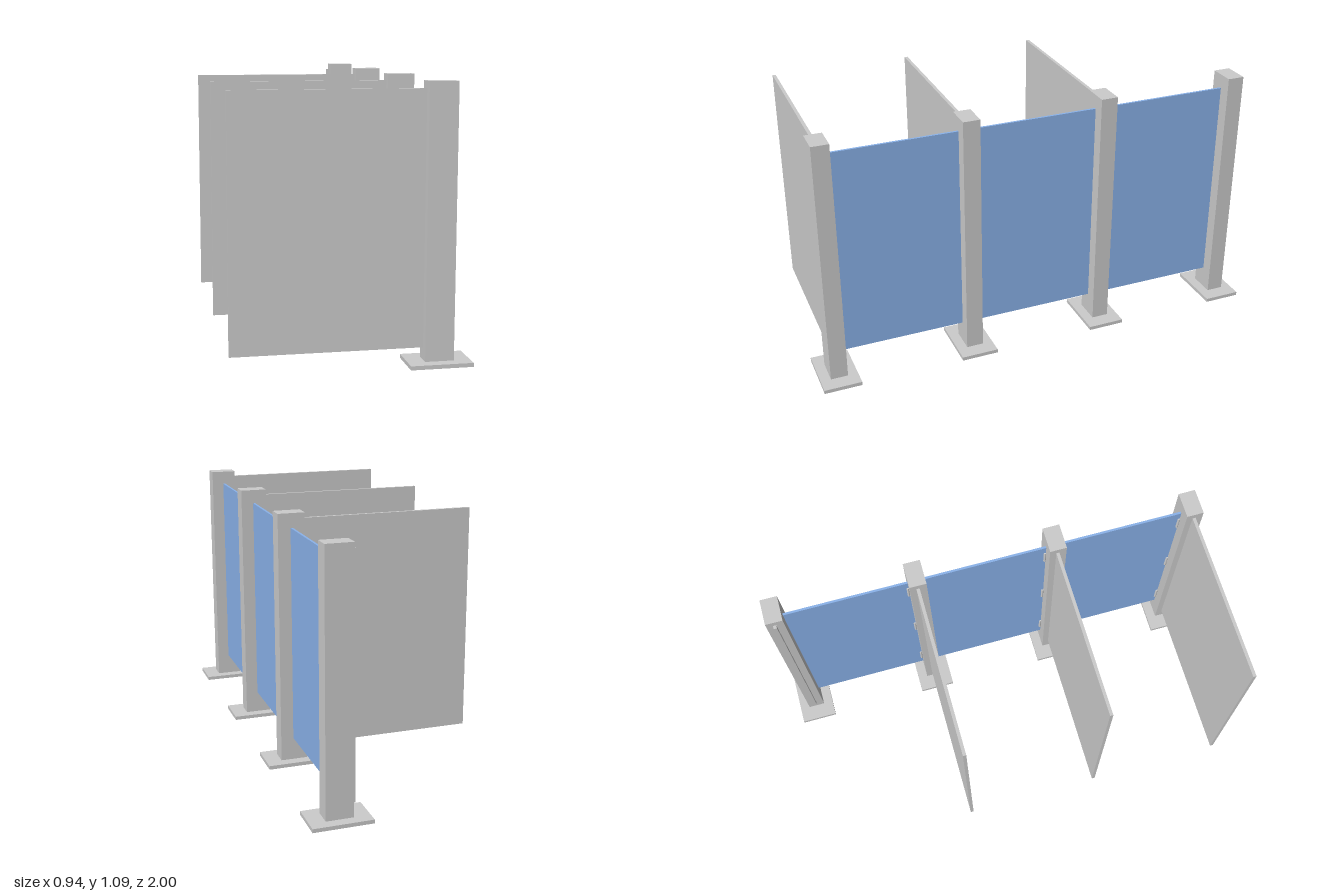
import * as THREE from 'three';

export function createModel() {
  const group = new THREE.Group();
  const grey = new THREE.MeshStandardMaterial({ color: 0xcccccc });
  const blue = new THREE.MeshStandardMaterial({ color: 0x8ab2ea });

  // Box given by its extents along each axis
  function box(name, [x0, x1], [y0, y1], [z0, z1], material = grey) {
    const mesh = new THREE.Mesh(new THREE.BoxGeometry(x1 - x0, y1 - y0, z1 - z0), material);
    mesh.position.set((x0 + x1) / 2, (y0 + y1) / 2, (z0 + z1) / 2);
    mesh.name = name;
    group.add(mesh);
  }
  const around = (c, half) => [c - half, c + half];

  const postZ = [0.919, 0.307, -0.306, -0.919];
  const postHalf = 0.037;

  postZ.forEach((z, i) => {
    // Floor plate and post
    box('basePlate', [0.217, 0.466], [0, 0.016], around(z, 0.081));
    box('post', [0.285, 0.4], [0.016, 1.093], around(z, postHalf));

    // Dividing panel; the last post carries only a narrow strip
    const panelStart = i < 3 ? -0.469 : 0.27;
    box(i < 3 ? 'dividerPanel' : 'panelStrip', [panelStart, 0.285], [0.065, 1.065], around(z - 0.002, 0.007));

    if (i === 3) return;
    // Door filling the gap to the next post
    box('door', around(0.341, 0.005), [0.112, 1.032], [postZ[i + 1] + postHalf, z - postHalf], blue);

    // Three hinge barrels along the door's front edge
    for (const y of [0.2, 0.57, 0.95]) {
      const hinge = new THREE.Mesh(new THREE.CylinderGeometry(0.006, 0.006, 0.075, 12), grey);
      hinge.position.set(0.336, y, z - postHalf - 0.004);
      hinge.name = 'hinge';
      group.add(hinge);
    }
  });
  return group;
}
